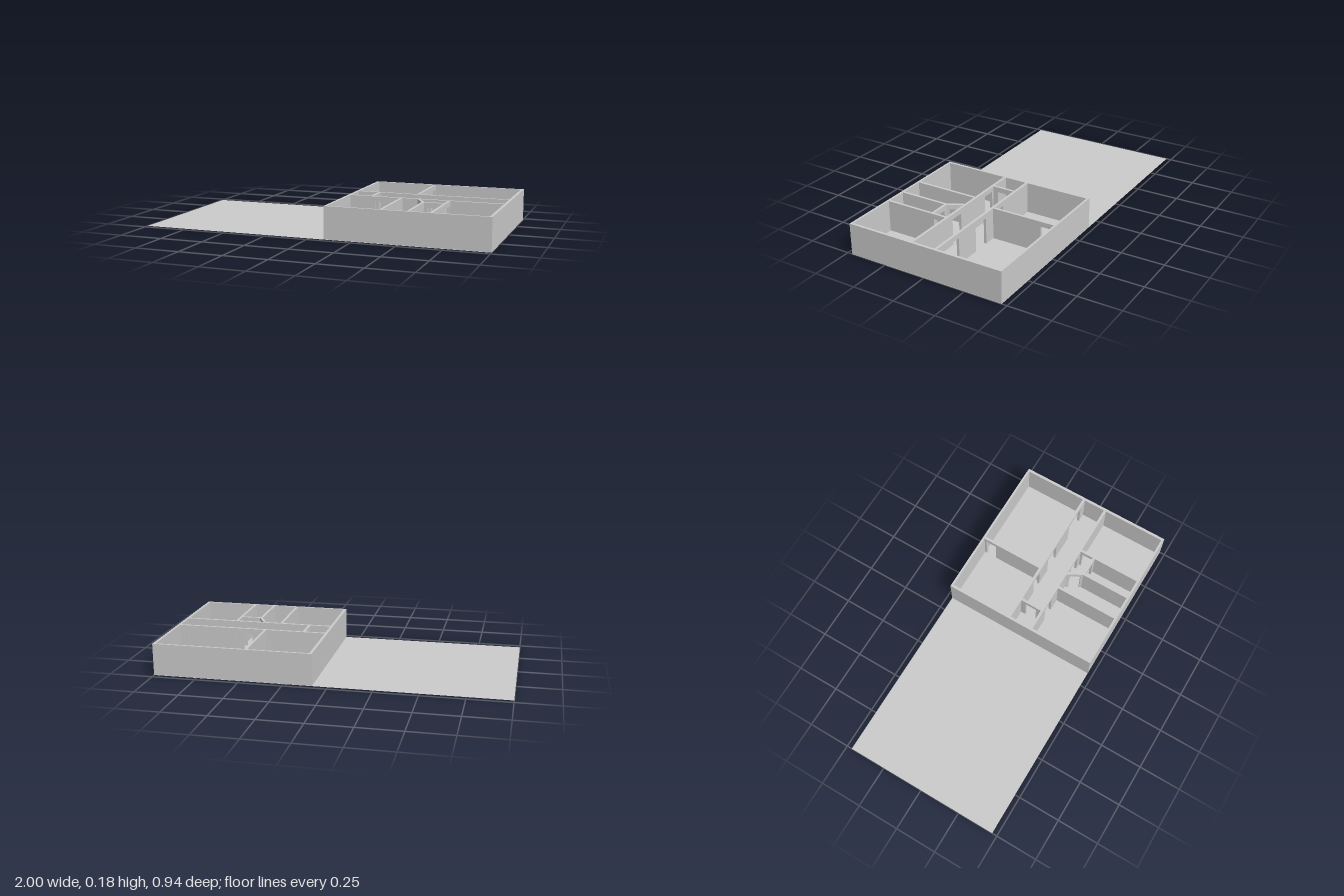
import * as THREE from 'three';

const HEIGHT = 0.184;      // wall height
const DOOR = 0.155;        // doorway height
const BASE = 0.001;        // wall foot, just above the ground

const material = new THREE.MeshStandardMaterial({ color: 0xcccccc, flatShading: true });
const groundMaterial = new THREE.MeshStandardMaterial({ color: 0xcccccc, side: THREE.DoubleSide });

// A straight wall between two plan points; doors are [start, end] distances along it.
function wall(name, [x1, z1], [x2, z2], thickness, doors = []) {
  const length = Math.hypot(x2 - x1, z2 - z1);
  const outline = new THREE.Shape();
  outline.moveTo(0, BASE);
  for (const [a, b] of doors) {
    outline.lineTo(a, BASE);
    outline.lineTo(a, DOOR);
    outline.lineTo(b, DOOR);
    outline.lineTo(b, BASE);
  }
  outline.lineTo(length, BASE);
  outline.lineTo(length, HEIGHT);
  outline.lineTo(0, HEIGHT);
  outline.closePath();
  const geometry = new THREE.ExtrudeGeometry(outline, { depth: thickness, bevelEnabled: false });
  geometry.translate(0, 0, -thickness / 2);
  const mesh = new THREE.Mesh(geometry, material);
  mesh.name = name;
  mesh.position.set(x1, 0, z1);
  mesh.rotation.y = -Math.atan2(z2 - z1, x2 - x1);
  return mesh;
}

// Plan rectangle, counter-clockwise; z is flipped because the plan is later laid flat.
function rectangle(x1, x2, z1, z2) {
  return [[x1, -z2], [x2, -z2], [x2, -z1], [x1, -z1]].map(([x, y]) => new THREE.Vector2(x, y));
}

export function createModel() {
  const model = new THREE.Group();
  model.name = 'floorPlan';

  // Ground sheet
  const ground = new THREE.Mesh(new THREE.PlaneGeometry(2, 0.94), groundMaterial);
  ground.name = 'ground';
  ground.rotation.x = -Math.PI / 2;
  model.add(ground);

  // Outer walls: one ring, its inner outline wound the other way
  const ring = new THREE.Shape(rectangle(0.087, 1, -0.47, 0.47));
  ring.holes.push(new THREE.Path(rectangle(0.103, 0.984, -0.457, 0.457).reverse()));
  const ringGeometry = new THREE.ExtrudeGeometry(ring, { depth: HEIGHT - BASE, bevelEnabled: false });
  ringGeometry.rotateX(-Math.PI / 2);
  const outer = new THREE.Mesh(ringGeometry, material);
  outer.name = 'outerWalls';
  outer.position.y = BASE;
  model.add(outer);

  // Partitions
  const t = 0.015;
  const partitions = new THREE.Group();
  partitions.name = 'partitions';
  partitions.add(
    // corridor walls running across the house
    wall('corridorBackWall', [0.103, -0.073], [0.984, -0.073], t,
      [[0.265, 0.335], [0.435, 0.535], [0.69, 0.83]]),
    wall('corridorFrontWall', [0.103, 0.073], [0.984, 0.073], t, [[0.147, 0.222], [0.457, 0.537]]),
    wall('closetWall', [0.23, -0.066], [0.23, 0.066], t, [[0.03, 0.1]]),
    // back rooms
    wall('backRoomWall', [0.46, -0.457], [0.46, -0.08], t, [[0.013, 0.078]]),
    // front rooms
    wall('frontLeftWall', [0.405, 0.08], [0.405, 0.457], t),
    wall('bathWall', [0.555, 0.163], [0.555, 0.457], t),
    wall('frontRightWall', [0.68, 0.08], [0.68, 0.457], t, [[0.012, 0.075]]),
    // lobby with its slanted doorway
    wall('lobbyWall', [0.555, 0.168], [0.673, 0.168], t, [[0.025, 0.095]]),
    wall('slantedWall', [0.507, 0.078], [0.557, 0.168], t, [[0.018, 0.083]]),
  );
  model.add(partitions);
  return model;
}
